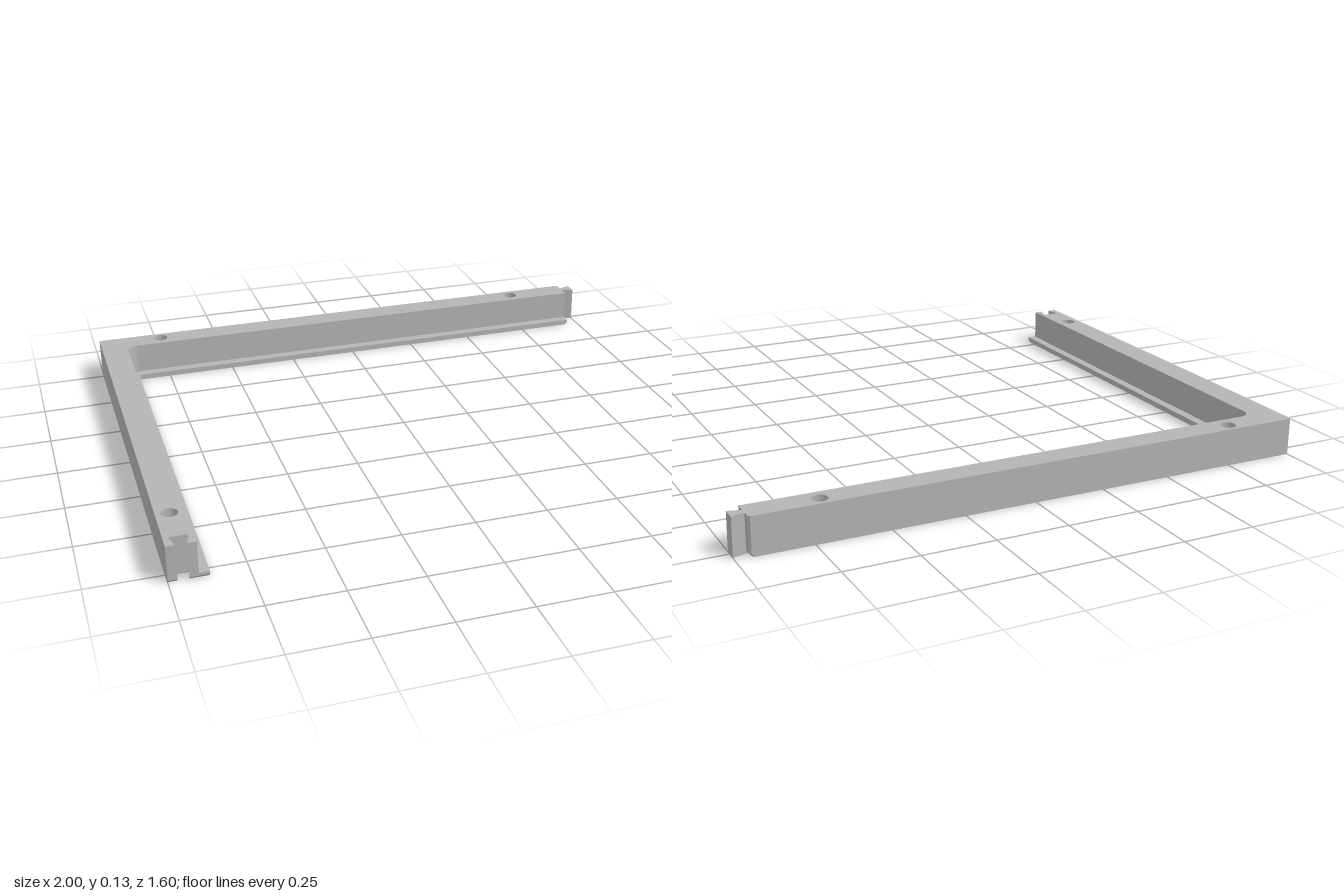
import * as THREE from 'three';

const H = 0.13;        // total height
const LIP = 0.02;      // lip thickness
const CHAMFER = 0.01;  // bevel under both open ends
const END_X = 0.955, END_Z = 0.8;
const HOLE_FLOOR = 0.07;
const HOLES = [[-0.767, -0.76], [0.72, -0.76], [-0.955, 0.607]];

// L-shaped plan with a rounded inner corner and a dovetail socket at the front end
function plan(innerX, innerZ, r) {
  const s = new THREE.Shape();
  const p = (x, z) => s.lineTo(x, -z);
  s.moveTo(-1, 0.8);
  p(-1, END_Z);
  p(-0.97, END_Z);
  p(-0.983, 0.75);
  p(-0.921, 0.75);
  p(-0.934, END_Z);
  p(innerX, END_Z);
  p(innerX, innerZ + r);
  s.absarc(innerX + r, -innerZ - r, r, Math.PI, Math.PI / 2, true);
  p(END_X, innerZ);
  p(END_X, -0.794);
  p(END_X - 0.006, -0.8);
  s.closePath();
  return s;
}

function slab(shape, y0, y1) {
  const g = new THREE.ExtrudeGeometry(shape, { depth: y1 - y0, bevelEnabled: false, curveSegments: 16 });
  g.rotateX(-Math.PI / 2);
  g.translate(0, y0, 0);
  return g;
}

export function createModel() {
  const model = new THREE.Group();
  model.name = 'cornerFrame';
  const grey = new THREE.MeshStandardMaterial({ color: 0xb4b4b4 });
  grey.name = 'grey';
  const add = (name, geometry) => {
    const mesh = new THREE.Mesh(geometry, grey);
    mesh.name = name;
    model.add(mesh);
  };

  // Bottom lip; its lowest edge is pulled back at the two open ends
  const lipPlan = plan(-0.872, -0.675, 0.015);
  const foot = slab(lipPlan, 0, CHAMFER);
  const pos = foot.attributes.position;
  for (let i = 0; i < pos.count; i++) {
    if (pos.getY(i) > 0.001) continue;
    if (pos.getX(i) > END_X - 0.01) pos.setX(i, pos.getX(i) - CHAMFER);
    if (pos.getZ(i) > END_Z - 0.001) pos.setZ(i, END_Z - CHAMFER);
  }
  foot.computeVertexNormals();
  add('lipChamfer', foot);
  add('lip', slab(lipPlan, CHAMFER, LIP));

  // Wall: solid lower part, upper part with blind round holes
  add('wallLower', slab(plan(-0.905, -0.71, 0.045), LIP, HOLE_FLOOR));
  const upper = plan(-0.905, -0.71, 0.045);
  for (const [x, z] of HOLES) {
    const hole = new THREE.Path();
    hole.absarc(x, -z, 0.027, 0, Math.PI * 2, true);
    upper.holes.push(hole);
  }
  add('wallUpper', slab(upper, HOLE_FLOOR, H));

  // Dovetail tongue at the right-hand end
  const tongue = new THREE.Shape();
  tongue.moveTo(0.94, 0.767);
  tongue.lineTo(0.94, 0.745);
  tongue.lineTo(END_X, 0.745);
  tongue.lineTo(1, 0.733);
  tongue.lineTo(1, 0.78);
  tongue.lineTo(END_X, 0.767);
  add('dovetailTongue', slab(tongue, 0, H));

  return model;
}
